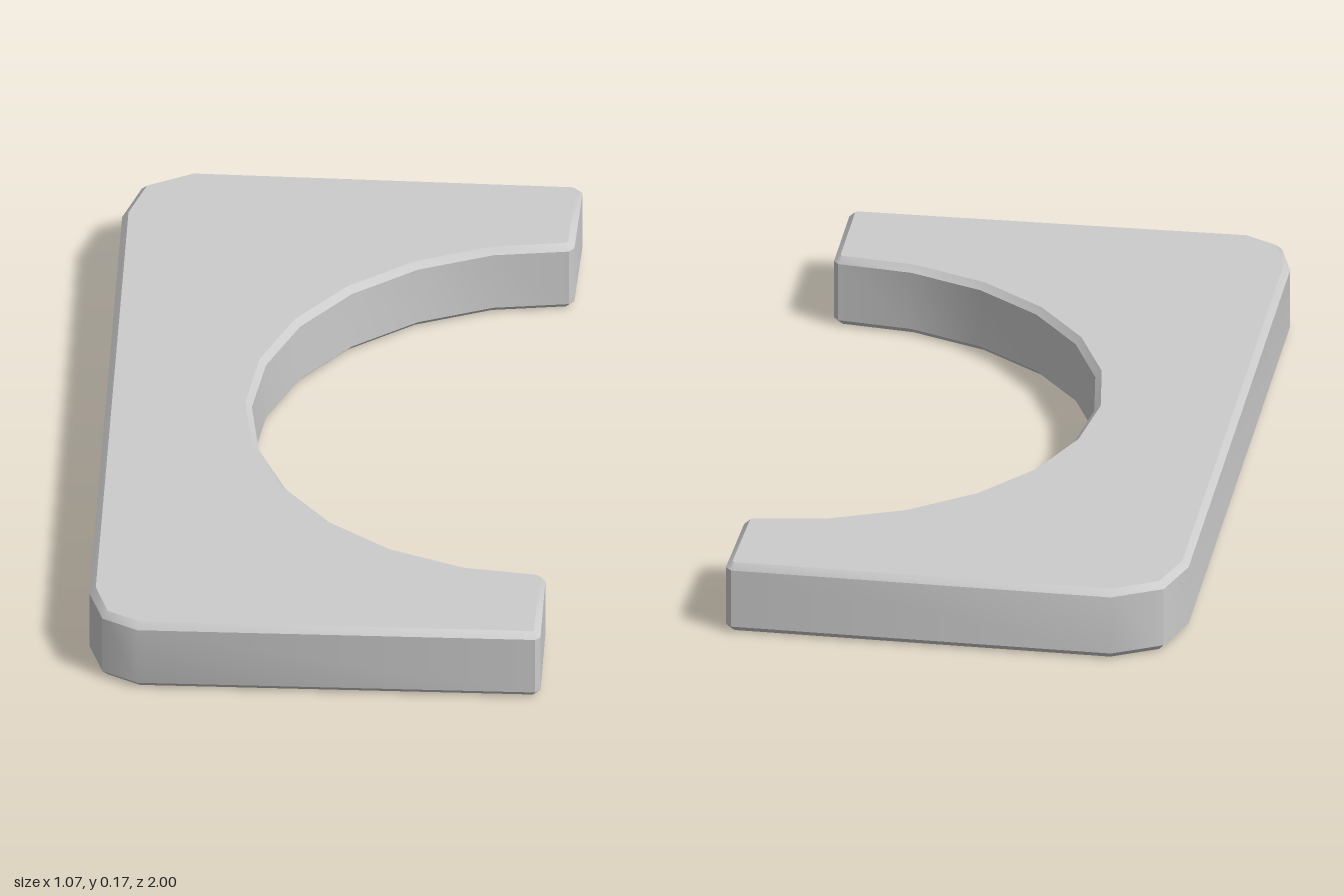
import * as THREE from 'three';
import { toCreasedNormals } from 'three/addons/utils/BufferGeometryUtils.js';

const HEIGHT = 0.174, BEVEL = 0.015;

export function createModel() {
  const group = new THREE.Group();
  group.name = 'bracket';

  // Semicircular cut-out, 15 degree steps from the back tip to the front tip
  const cutout = [];
  for (let i = 1; i < 12; i++) {
    const a = (i * Math.PI) / 12;
    cutout.push([0.52 - 0.715 * Math.sin(a), 0.008 - 0.715 * Math.cos(a)]);
  }

  // Plan outline as [x, z]: tips slightly clipped, outer corners cut in two facets
  const outline = [
    [0.515, -0.98], [0.53, -0.965], [0.522, -0.722], [0.51, -0.707],
    ...cutout,
    [0.51, 0.722], [0.522, 0.737], [0.522, 0.985], [0.51, 0.998],
    [-0.415, 0.998], [-0.5, 0.95], [-0.535, 0.84],
    [-0.535, -0.81], [-0.495, -0.937], [-0.38, -1],
  ];
  const shape = new THREE.Shape(outline.map(([x, z]) => new THREE.Vector2(x, -z)));

  // Flat plate with a narrow chamfer on the top and bottom edges
  const plate = new THREE.ExtrudeGeometry(shape, {
    depth: HEIGHT - 2 * BEVEL,
    bevelEnabled: true,
    bevelThickness: BEVEL,
    bevelSize: BEVEL,
    bevelOffset: -BEVEL,
    bevelSegments: 1,
  });
  plate.rotateX(-Math.PI / 2).translate(0, BEVEL, 0);

  const mesh = new THREE.Mesh(
    toCreasedNormals(plate, 0.65),
    new THREE.MeshStandardMaterial({ color: 0xcccccc })
  );
  mesh.name = 'archedPlate';
  group.add(mesh);
  return group;
}
